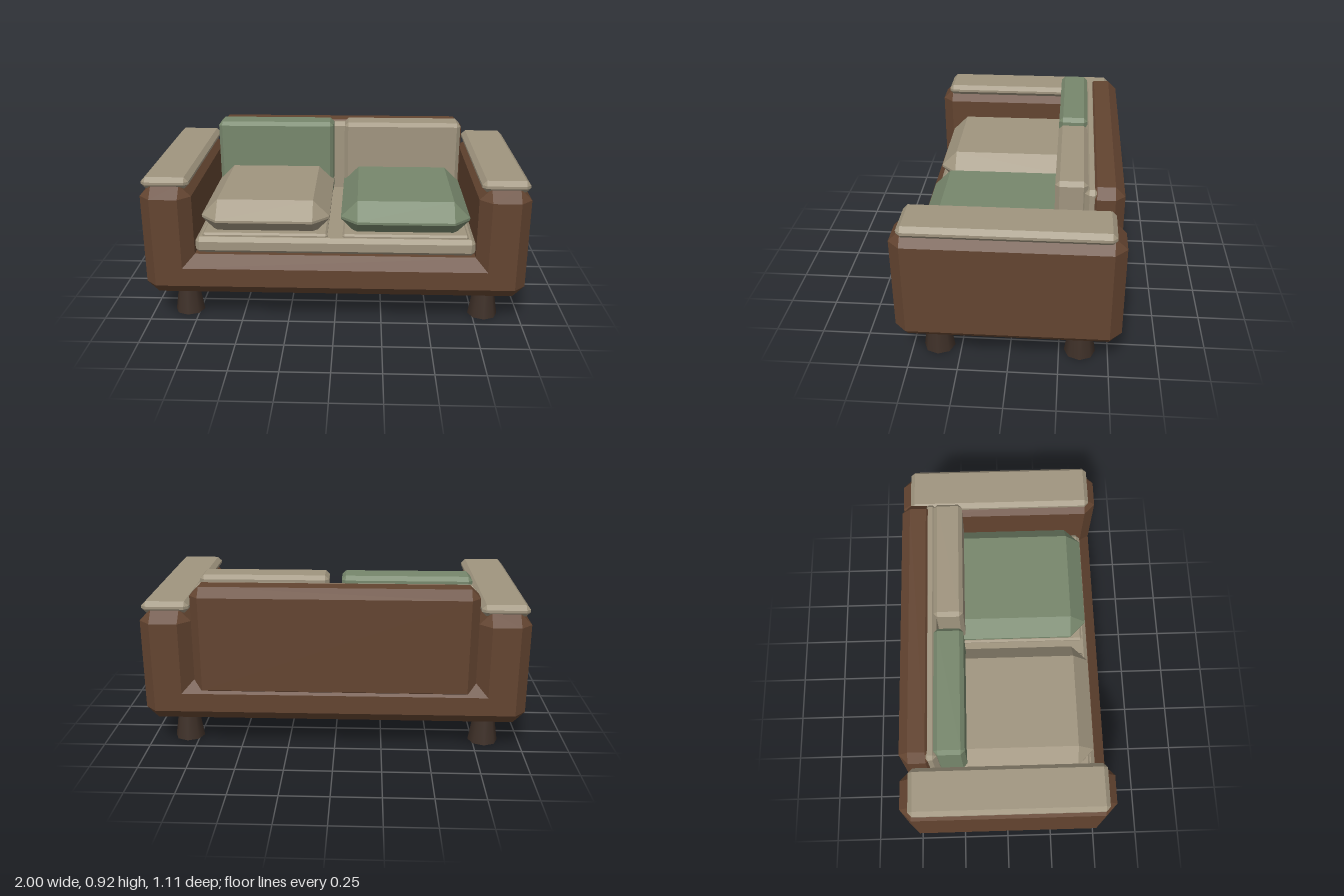
import * as THREE from 'three';
import { ConvexGeometry } from 'three/addons/geometries/ConvexGeometry.js';

const mat = (color) => new THREE.MeshStandardMaterial({ color, flatShading: true });

// Box with flat chamfered edges from [min, max] ranges; the front edges may have their own chamfer
function chamferBox([x0, x1], [y0, y1], [z0, z1], c, front = c) {
  const pts = [];
  for (const [x, sx] of [[x0, 1], [x1, -1]])
    for (const [y, sy] of [[y0, 1], [y1, -1]])
      for (const [z, sz] of [[z0, 1], [z1, -1]]) {
        const f = sz < 0 ? front : c;
        pts.push(
          new THREE.Vector3(x, y + sy * c, z + sz * f),
          new THREE.Vector3(x + sx * c, y, z + sz * f),
          new THREE.Vector3(x + sx * f, y + sy * c, z),
        );
        if (f !== c) pts.push(new THREE.Vector3(x + sx * c, y + sy * f, z));
      }
  return new ConvexGeometry(pts);
}

export function createModel() {
  const group = new THREE.Group();
  const brown = mat(0x634430);
  const beige = mat(0xa0957f);
  const green = mat(0x77876c);
  const legMat = new THREE.MeshStandardMaterial({ color: 0x3d2f27 });

  const add = (name, geometry, material) => {
    const mesh = new THREE.Mesh(geometry, material);
    mesh.name = name;
    group.add(mesh);
    return mesh;
  };

  // Wooden body: base between the arms, and backrest
  add('base', chamferBox([-0.9, 0.9], [0.17, 0.39], [-0.555, 0.555], 0.06), brown);
  add('backrest', chamferBox([-0.735, 0.735], [0.3, 0.893], [-0.545, -0.4], 0.047, 0.01), brown);

  // Thin linings on the seat and back
  add('seatPad', chamferBox([-0.735, 0.735], [0.385, 0.475], [-0.42, 0.485], 0.022), beige);
  add('backPad', chamferBox([-0.725, 0.725], [0.42, 0.885], [-0.42, -0.352], 0.022), beige);

  for (const s of [-1, 1]) {
    const side = s > 0 ? 'left' : 'right';
    const span = (a, b) => (s > 0 ? [a, b] : [-b, -a]);

    // Arm with its padded cap
    add(side + 'Arm', chamferBox(span(0.735, 1), [0.17, 0.77], [-0.555, 0.555], 0.06), brown);
    add(side + 'ArmCap', chamferBox(span(0.745, 0.99), [0.75, 0.81], [-0.505, 0.51], 0.023), beige);

    // Cushions, with the two fabrics swapped between sides
    add(side + 'CushionBase', chamferBox(span(0.04, 0.7), [0.46, 0.492], [-0.35, 0.455], 0.01), beige);
    add(side + 'SeatCushion', chamferBox(span(0.03, 0.71), [0.468, 0.655], [-0.36, 0.47], 0.087),
      s > 0 ? green : beige);
    add(side + 'BackCushion', chamferBox(span(0.033, 0.707), [0.48, 0.918], [-0.367, -0.21], 0.021),
      s > 0 ? beige : green);

    // Tapered legs
    for (const [end, z] of [['Front', 0.365], ['Back', -0.357]]) {
      const leg = add(side + end + 'Leg', new THREE.CylinderGeometry(0.052, 0.08, 0.18, 8), legMat);
      leg.position.set(s * 0.808, 0.09, z);
    }
  }
  return group;
}
